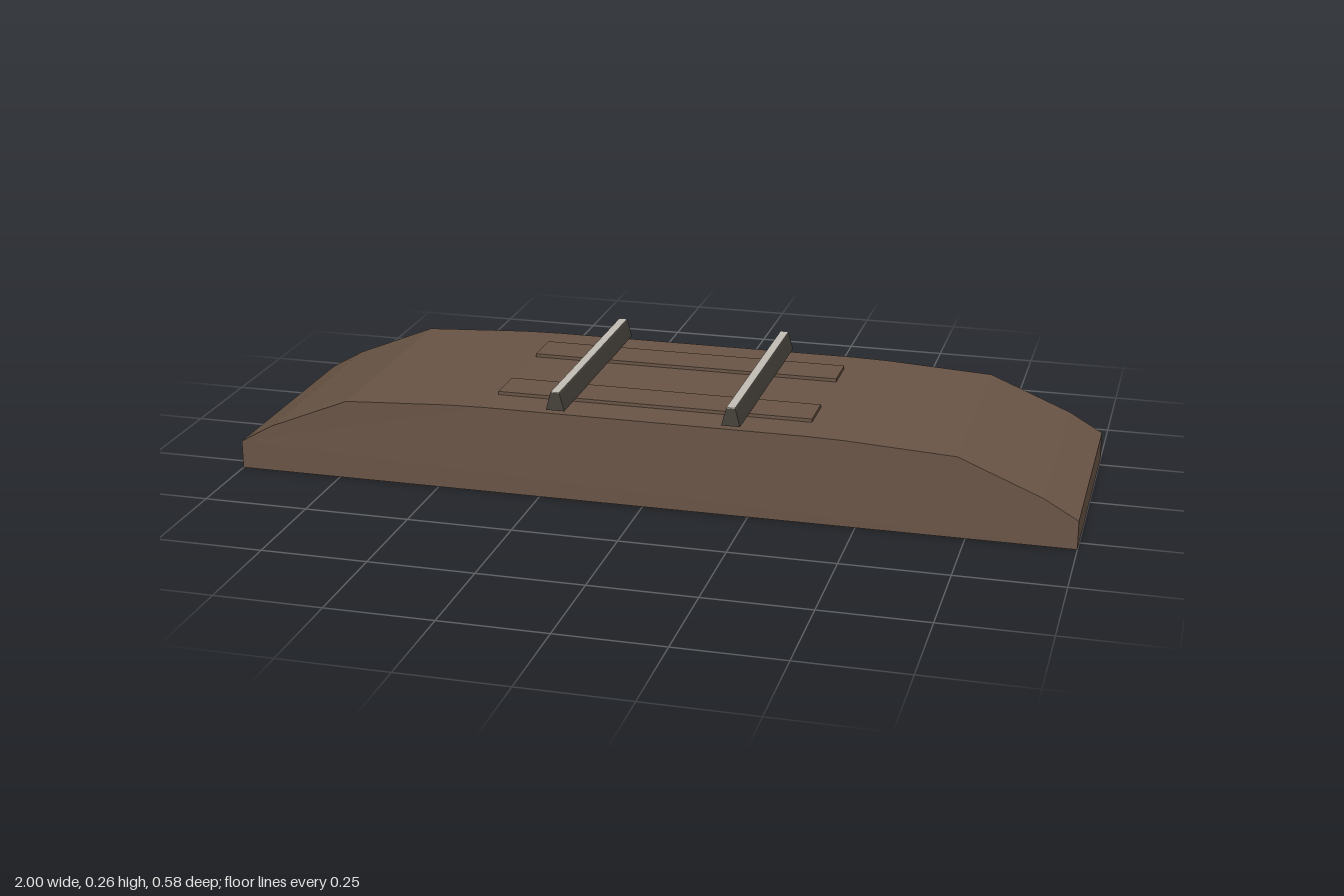
import * as THREE from 'three';

const DEPTH = 0.58;

export function createModel() {
  const earth = new THREE.MeshStandardMaterial({ color: 0x6a5546 });
  earth.name = 'brown earth';
  const iron = new THREE.MeshStandardMaterial({ color: 0x47423b });
  iron.name = 'dark iron';
  const steel = new THREE.MeshStandardMaterial({ color: 0xc4beb6 });
  steel.name = 'polished steel';

  const model = new THREE.Group();
  model.name = 'railCrossing';

  const add = (name, geometry, material, x = 0, y = 0, z = 0) => {
    const mesh = new THREE.Mesh(geometry, material);
    mesh.name = name;
    mesh.position.set(x, y, z);
    model.add(mesh);
  };

  // Extrudes the right half of a symmetric profile, mirrored, along z
  const extrudeProfile = (half) => {
    const left = half.map(([x, y]) => [-x, y]).reverse();
    const points = [...half, ...left].map(([x, y]) => new THREE.Vector2(x, y));
    const geometry = new THREE.ExtrudeGeometry(new THREE.Shape(points), { depth: DEPTH, bevelEnabled: false });
    return geometry.translate(0, 0, -DEPTH / 2);
  };

  // Ramped mound
  add('mound', extrudeProfile([
    [1, 0], [1, 0.068], [0.92, 0.114], [0.725, 0.194], [0.47, 0.208], [0.38, 0.21],
  ]), earth);

  // Planks lying under the rails
  for (const z of [-0.145, 0.145]) {
    add('plank', new THREE.BoxGeometry(0.755, 0.016, 0.102), earth, 0, 0.21, z);
  }

  // Tapered rails with a bright running surface
  const railGeometry = extrudeProfile([[0.022, 0.218], [0.012, 0.256], [0.01, 0.261]]);
  for (const x of [-0.208, 0.208]) {
    add('rail', railGeometry, iron, x);
    add('railTop', new THREE.BoxGeometry(0.02, 0.002, DEPTH), steel, x, 0.2615);
  }

  return model;
}
